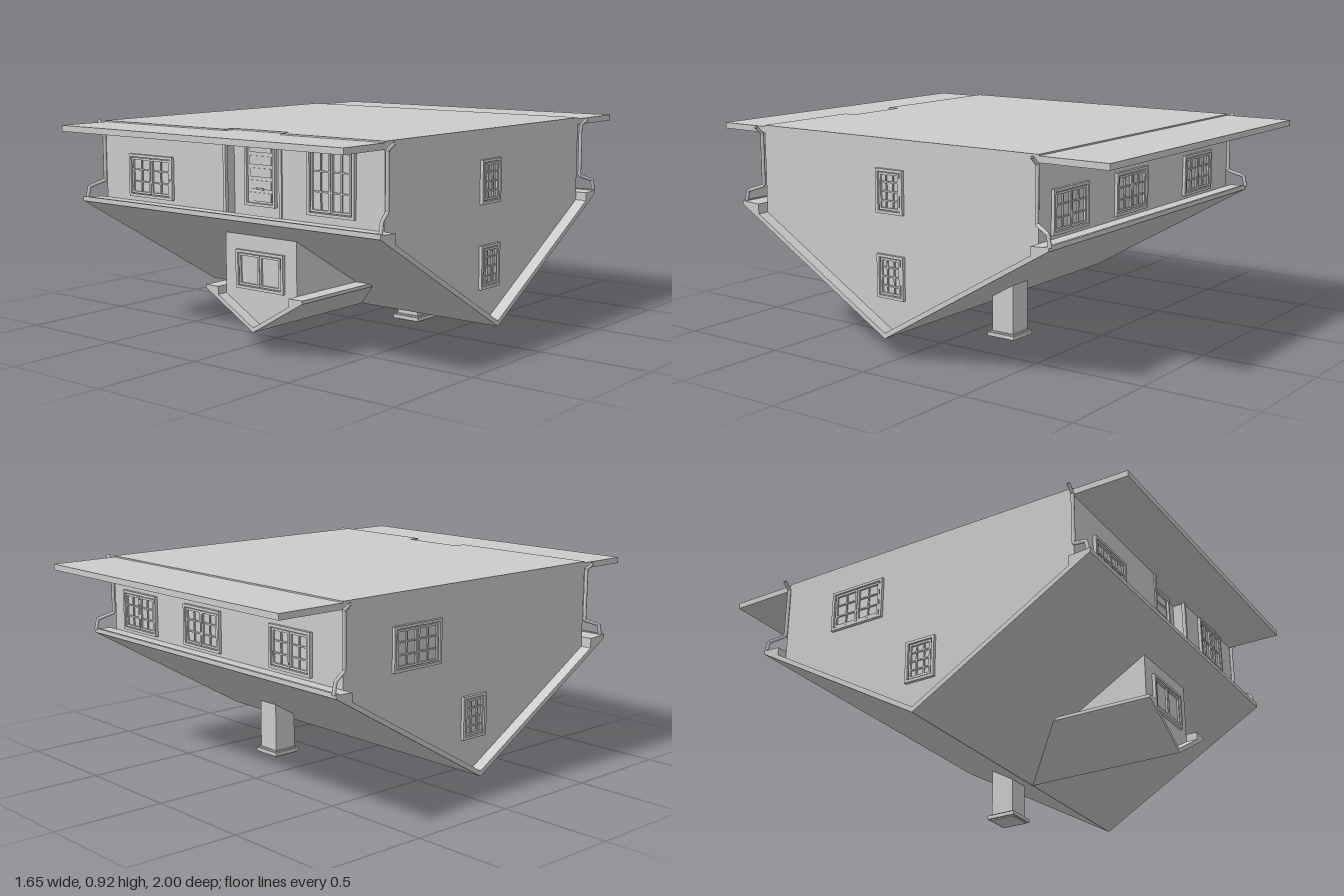
import * as THREE from 'three';

const mat = new THREE.MeshStandardMaterial({ color: 0xcccccc });

function add(parent, geo, name) {
  const m = new THREE.Mesh(geo, mat);
  m.name = name;
  parent.add(m);
  return m;
}

// Box given by its limits on each axis
function box(parent, name, x0, x1, y0, y1, z0, z1) {
  const g = new THREE.BoxGeometry(x1 - x0, y1 - y0, z1 - z0);
  g.translate((x0 + x1) / 2, (y0 + y1) / 2, (z0 + z1) / 2);
  return add(parent, g, name);
}

function extrude(points, depth) {
  const shape = new THREE.Shape(points.map(([a, b]) => new THREE.Vector2(a, b)));
  return new THREE.ExtrudeGeometry(shape, { depth, bevelEnabled: false });
}

// Prism along x from a (z, y) profile
function prismX(parent, name, profile, x0, x1) {
  const g = extrude(profile.map(([z, y]) => [-z, y]), x1 - x0);
  g.rotateY(Math.PI / 2).translate(x0, 0, 0);
  return add(parent, g, name);
}

// Prism along z from an (x, y) profile
function prismZ(parent, name, profile, z0, z1) {
  return add(parent, extrude(profile, z1 - z0).translate(0, 0, z0), name);
}

// Rectangular frame with an open middle, standing on z = 0
function frame(parent, name, cx, w, h, t, d) {
  const l = cx - w / 2, r = cx + w / 2, b = -h / 2, u = h / 2;
  box(parent, name, l, r, u - t, u, 0, d);
  box(parent, name, l, r, b, b + t, 0, d);
  box(parent, name, l, l + t, b + t, u - t, 0, d);
  box(parent, name, r - t, r, b + t, u - t, 0, d);
}

// Window facing +z: outer frame, sashes and glazing bars
function makeWindow(name, w, h, sashes, cols, rows) {
  const g = new THREE.Group();
  g.name = name;
  frame(g, 'windowFrame', 0, w, h, 0.012, 0.014);
  box(g, 'pane', -w / 2 + 0.005, w / 2 - 0.005, -h / 2 + 0.005, h / 2 - 0.005, -0.004, 0.002);
  const sw = (w - 0.03) / sashes, sh = h - 0.03;
  for (let s = 0; s < sashes; s++) {
    const cx = (s - (sashes - 1) / 2) * sw;
    frame(g, 'sash', cx, sw - 0.003, sh, 0.009, 0.01);
    for (let i = 1; i < cols; i++) {
      const x = cx - sw / 2 + (i * sw) / cols;
      box(g, 'glazingBar', x - 0.003, x + 0.003, -sh / 2, sh / 2, 0, 0.008);
    }
    for (let j = 1; j < rows; j++) {
      const y = -sh / 2 + (j * sh) / rows;
      box(g, 'glazingBar', cx - sw / 2, cx + sw / 2, y - 0.003, y + 0.003, 0, 0.008);
    }
  }
  return g;
}

export function createModel() {
  const house = new THREE.Group();
  house.name = 'upsideDownHouse';
  const L = -0.775, R = 0.77, F = 0.755, B = -0.69, MID = 0.04;
  const doorL = -0.05, doorR = 0.255, doorZ = 0.7;

  // Walls with gables pointing down; the middle section is set back for the door
  const body = (front, x0, x1, name) => prismX(house, name, [
    [front, 0.914], [front, 0.105 + (front - MID) * 0.586], [MID, 0.105],
    [B, 0.105 + (MID - B) * 0.586], [B, 0.914],
  ], x0, x1);
  body(F, L, doorL, 'rightWalls');
  body(doorZ, doorL, doorR, 'entranceWall');
  body(F, doorR, R, 'leftWalls');

  // Ground slabs hanging over front and back
  box(house, 'frontSlab', L, R, 0.882, 0.908, doorZ - 0.01, 1);
  box(house, 'backSlab', L, R, 0.882, 0.908, -1, B + 0.01);

  // Main roof with boxed eaves
  prismX(house, 'roof', [
    [0.85, 0.562], [MID, 0.088], [-0.77, 0.562], [-0.77, 0.578], [B, 0.574], [B, 0.538],
    [MID, 0.112], [F, 0.53], [F, 0.574], [0.85, 0.578],
  ], -0.826, 0.823);
  // Gutter lips along both eaves
  for (const z of [0.845, -0.765]) {
    box(house, 'gutter', -0.826, 0.823, 0.562, 0.582, z - 0.006, z + 0.006);
  }

  // Recess posts and header beside the door
  for (const x of [doorL, doorR]) {
    box(house, 'entrancePost', x - 0.007, x + 0.007, 0.56, 0.89, F - 0.01, F + 0.006);
  }

  // Door with horizontal panels
  const door = new THREE.Group();
  door.name = 'door';
  door.position.set(0.1025, 0.742, doorZ);
  frame(door, 'doorFrame', 0, 0.165, 0.275, 0.012, 0.016);
  box(door, 'doorLeaf', -0.072, 0.072, -0.13, 0.13, -0.004, 0.005);
  for (let i = 0; i < 5; i++) {
    const y = -0.1 + i * 0.05;
    box(door, 'doorPanel', -0.058, 0.058, y - 0.018, y + 0.018, 0, 0.009);
  }
  box(door, 'letterSlot', -0.018, 0.018, -0.07, -0.062, 0, 0.014);
  house.add(door);

  // Windows: name, position, turn, width, height, sashes, columns, rows
  const q = Math.PI / 2;
  const windows = [
    ['frontRightWindow', -0.483, 0.686, F, 0, 0.265, 0.185, 2, 2, 3],
    ['frontLeftWindow', 0.517, 0.74, F, 0, 0.235, 0.27, 2, 2, 3],
    ['dormerWindow', 0.1025, 0.336, 0.71, 0, 0.26, 0.162, 2, 1, 1],
    ['leftUpperWindow', R, 0.697, MID, q, 0.14, 0.185, 1, 3, 4],
    ['leftLowerWindow', R, 0.34, MID, q, 0.14, 0.185, 1, 3, 4],
    ['rightUpperWindow', L, 0.69, -0.3, -q, 0.265, 0.185, 2, 2, 3],
    ['rightLowerWindow', L, 0.34, MID, -q, 0.14, 0.185, 1, 3, 4],
    ['backWindow', 0.56, 0.68, B, 2 * q, 0.25, 0.18, 2, 2, 3],
    ['backWindow', 0.1, 0.68, B, 2 * q, 0.25, 0.18, 2, 2, 3],
    ['backWindow', -0.475, 0.68, B, 2 * q, 0.25, 0.18, 2, 2, 3],
  ];
  for (const [name, x, y, z, turn, ...size] of windows) {
    const w = makeWindow(name, ...size);
    w.position.set(x, y, z);
    w.rotation.y = turn;
    house.add(w);
  }

  // Dormer body and its V-shaped roof
  const dx = 0.1;
  prismZ(house, 'dormerWalls', [
    [dx - 0.195, 0.488], [dx - 0.195, 0.21], [dx, 0.1], [dx + 0.195, 0.21], [dx + 0.195, 0.488],
  ], 0.3, 0.71);
  prismZ(house, 'dormerRoof', [
    [dx, 0.088], [dx + 0.265, 0.242], [dx + 0.265, 0.256], [dx + 0.195, 0.256],
    [dx + 0.195, 0.222], [dx, 0.108], [dx - 0.195, 0.222], [dx - 0.195, 0.256],
    [dx - 0.265, 0.256], [dx - 0.265, 0.242],
  ], MID, 0.76);

  // Chimney with a stepped cap
  box(house, 'chimney', 0.186, 0.294, 0.01, 0.3, -0.23, -0.12);
  box(house, 'chimneyCap', 0.171, 0.309, 0.005, 0.022, -0.245, -0.105);
  box(house, 'chimneyRim', 0.18, 0.3, 0, 0.028, -0.236, -0.114);

  // Downspouts at the four corners
  for (const sx of [1, -1]) {
    for (const [wall, sz] of [[F, 1], [B, -1]]) {
      const path = new THREE.CurvePath();
      const pts = [
        [0.818, 0.91, 0.003], [0.784, 0.88, 0.003], [0.784, 0.65, 0.003],
        [0.812, 0.625, 0.072], [0.814, 0.575, 0.083],
      ].map(([x, y, out]) => new THREE.Vector3(sx * x, y, wall + sz * out));
      for (let i = 1; i < pts.length; i++) path.add(new THREE.LineCurve3(pts[i - 1], pts[i]));
      add(house, new THREE.TubeGeometry(path, 48, 0.008, 8, false), 'downspout').material =
        new THREE.MeshStandardMaterial({ color: 0xcccccc, side: THREE.DoubleSide });
    }
  }
  return house;
}
